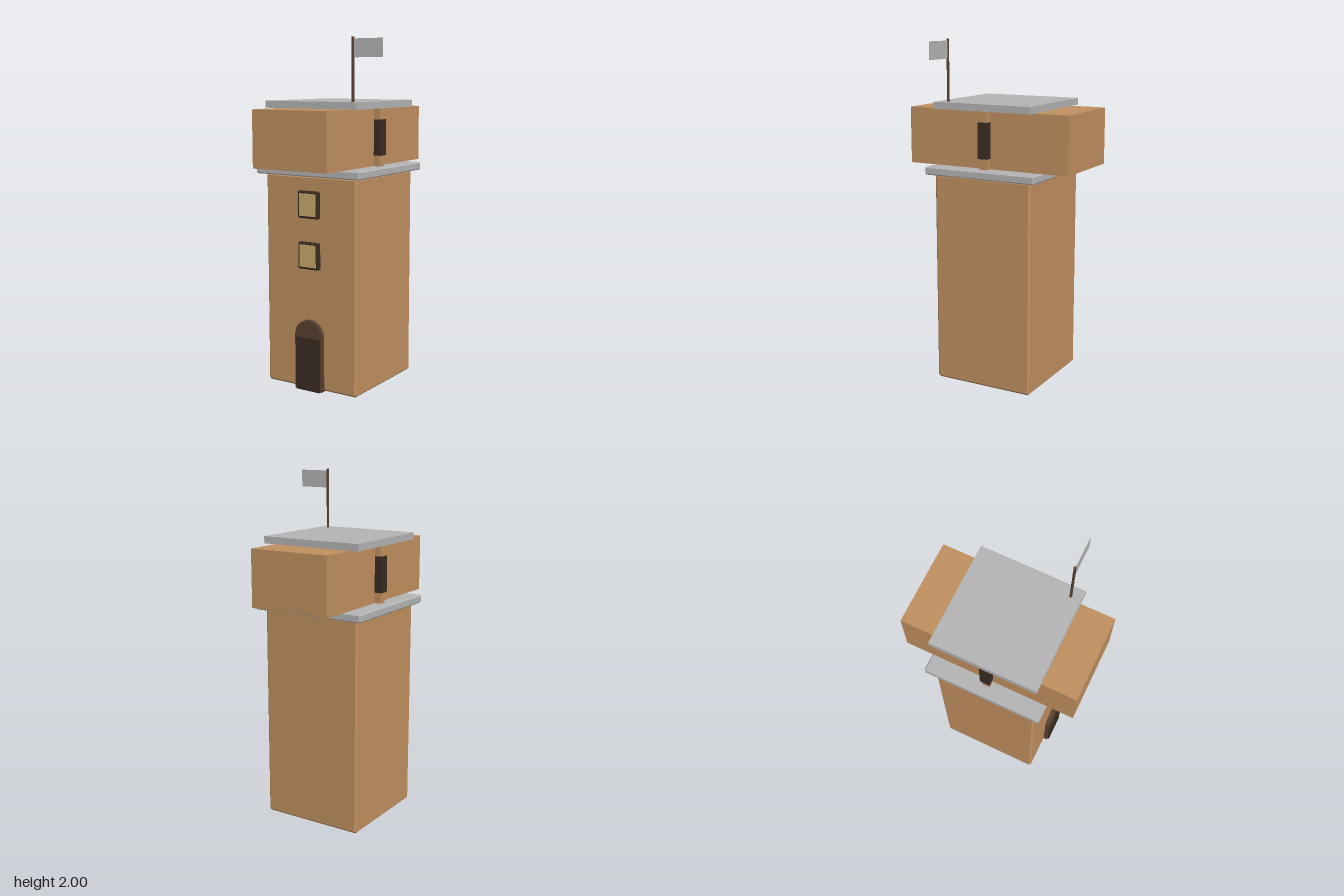
import * as THREE from 'three';
import { ConvexGeometry } from 'three/addons/geometries/ConvexGeometry.js';

const CX = -0.042; // tower axis; the flag shifts the overall centre

const mat = (name, color) => {
  const m = new THREE.MeshStandardMaterial({ color });
  m.name = name;
  return m;
};

// Box with every edge cut by a flat chamfer c
function chamferBox(w, h, d, c) {
  const pts = [];
  for (const x of [-1, 1]) for (const y of [-1, 1]) for (const z of [-1, 1]) {
    for (let full = 0; full < 3; full++) {
      const s = [w / 2, h / 2, d / 2].map((v, i) => (i === full ? v : v - c));
      pts.push(new THREE.Vector3(x * s[0], y * s[1], z * s[2]));
    }
  }
  return new ConvexGeometry(pts);
}

export function createModel() {
  const group = new THREE.Group();
  group.name = 'watchtower';

  const wall = mat('tan wall', 0xc09060);
  const stone = mat('grey stone', 0xb4b4b4);
  const dark = mat('dark wood', 0x3a2c22);
  const brown = mat('brown wood', 0x5a4030);
  const glass = mat('warm pane', 0xc9a96e);

  const add = (name, geometry, material, x, y, z) => {
    const mesh = new THREE.Mesh(geometry, material);
    mesh.name = name;
    mesh.position.set(x, y, z);
    group.add(mesh);
    return mesh;
  };
  const box = (w, h, d) => new THREE.BoxGeometry(w, h, d);

  // Shaft, ledge, overhanging chamber and roof slab
  add('shaft', chamferBox(0.614, 1.236, 0.614, 0.012), wall, CX, 0.622, 0);
  add('ledge', chamferBox(0.694, 0.046, 0.694, 0.006), stone, CX, 1.261, 0);
  add('chamber', box(0.492, 0.326, 1.01), wall, CX, 1.447, 0);
  add('roofSlab', box(0.614, 0.04, 0.614), stone, CX, 1.632, 0);

  // Side piers with dark slit shutters
  for (const side of [-1, 1]) {
    add('sidePier', box(0.05, 0.326, 0.048), wall, CX + side * 0.258, 1.447, 0);
    add('slitShutter', box(0.045, 0.204, 0.058), dark, CX + side * 0.27, 1.447, 0);
  }

  // Front windows
  for (const y of [0.787, 1.078]) {
    add('windowFrame', chamferBox(0.136, 0.154, 0.046, 0.006), dark, CX, y, 0.31);
    add('windowPane', box(0.11, 0.128, 0.004), glass, CX, y, 0.333);
  }

  // Arched doorway with the door in front
  const r = 0.092;
  const arch = new THREE.Shape();
  arch.moveTo(-r, 0);
  arch.lineTo(r, 0);
  arch.lineTo(r, 0.318);
  arch.absarc(0, 0.318, r, 0, Math.PI, false);
  arch.closePath();
  const archGeo = new THREE.ExtrudeGeometry(arch, { depth: 0.046, bevelEnabled: false, curveSegments: 12 });
  add('doorArch', archGeo, brown, CX, 0.003, 0.287);
  add('door', box(0.162, 0.312, 0.045), dark, CX, 0.156, 0.319);

  // Flagpole and flag
  add('flagpole', new THREE.CylinderGeometry(0.0075, 0.0075, 0.36, 8), brown, 0.204, 1.82, 0.246);
  add('flag', box(0.18, 0.1, 0.004), stone, 0.3, 1.94, 0.246);

  return group;
}
